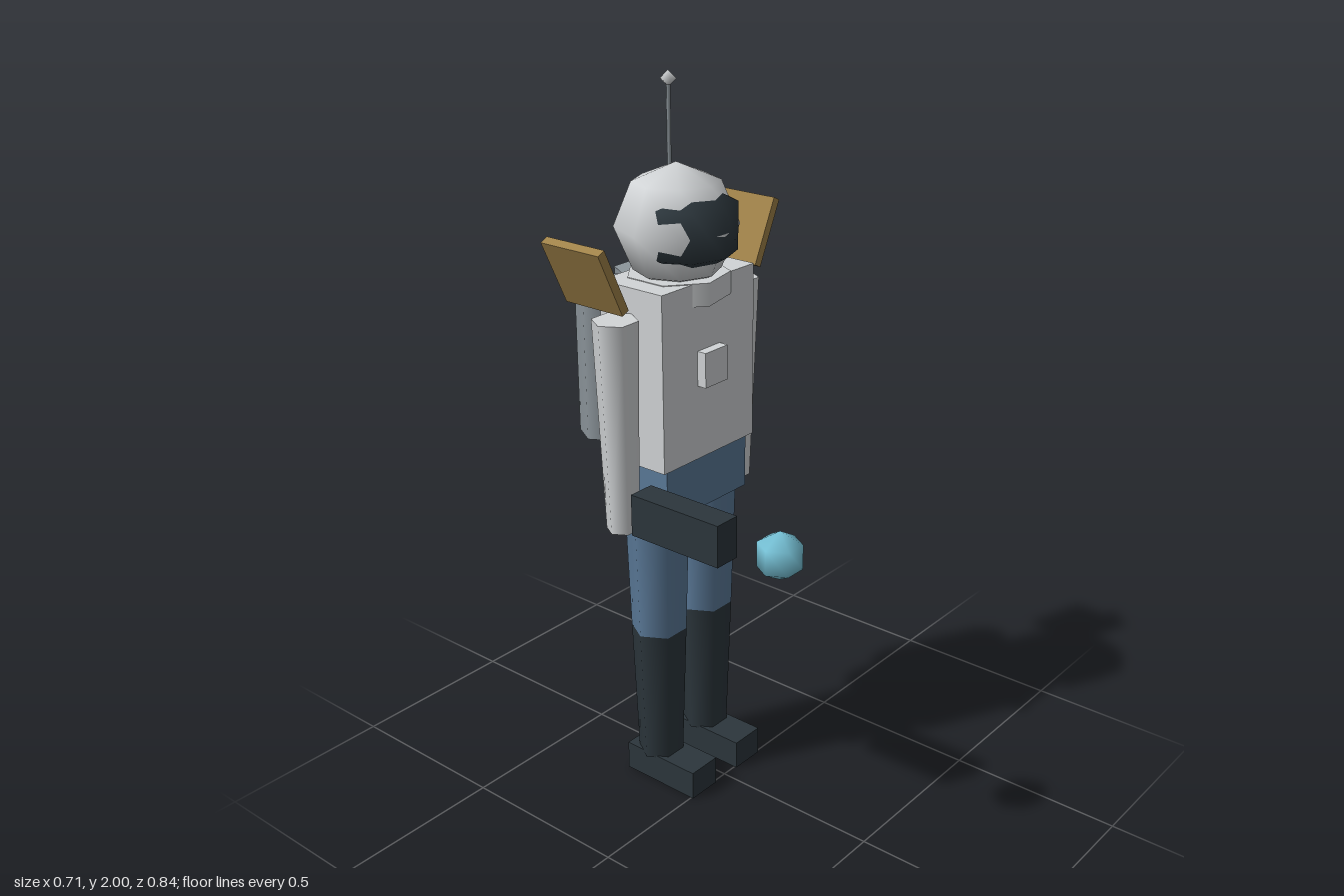
import * as THREE from 'three';

const mat = (name, color) => {
  const m = new THREE.MeshStandardMaterial({ color });
  m.name = name;
  return m;
};

export function createModel() {
  const suit = mat('suit white', 0xd2d5d7);
  const blue = mat('trouser blue', 0x5b7a99);
  const dark = mat('dark slate', 0x2c363c);
  const steel = mat('tank grey', 0x8d969c);
  const gold = mat('panel gold', 0xa1834a);
  const cyan = mat('orb cyan', 0x78c4d9);

  const group = new THREE.Group();
  const add = (name, geometry, material, x, y, z) => {
    const mesh = new THREE.Mesh(geometry, material);
    mesh.name = name;
    mesh.position.set(x, y, z);
    group.add(mesh);
    return mesh;
  };
  const box = (name, m, w, h, d, x, y, z) =>
    add(name, new THREE.BoxGeometry(w, h, d), m, x, y, z);
  // Upright prism between two heights, with a corner pointing to each side
  const prism = (name, m, rTop, rBottom, y0, y1, x, z, sides = 6) => {
    const g = new THREE.CylinderGeometry(rTop, rBottom, y1 - y0, sides);
    g.rotateY(Math.PI / 2);
    return add(name, g, m, x, (y0 + y1) / 2, z);
  };

  // Body
  box('torso', suit, 0.37, 0.49, 0.213, 0, 1.265, -0.158);
  box('pelvis', blue, 0.33, 0.155, 0.195, 0, 0.943, -0.158);
  box('chestUnit', suit, 0.09, 0.097, 0.04, -0.003, 1.277, -0.044);
  const collar = add('collar', new THREE.CylinderGeometry(0.14, 0.14, 0.062, 7), suit, 0, 1.481, -0.16);
  collar.rotation.y = -Math.PI / 14;

  // Helmet, with a visor swelling out of its front
  add('helmet', new THREE.SphereGeometry(0.165, 8, 4), suit, 0, 1.635, -0.16);
  const visor = add('visor', new THREE.SphereGeometry(0.13, 8, 3), dark, 0, 1.637, -0.109);
  visor.scale.set(1.15, 0.98, 1);

  // Mirrored limbs, tanks and panels
  for (const [side, s] of [['left', 1], ['right', -1]]) {
    prism(side + 'Thigh', blue, 0.092, 0.079, 0.49, 0.93, s * 0.1, -0.158);
    prism(side + 'Boot', dark, 0.079, 0.065, 0.08, 0.49, s * 0.1, -0.158);
    box(side + 'Foot', dark, 0.104, 0.086, 0.25, s * 0.099, 0.043, -0.118);
    const arm = prism(side + 'Arm', suit, 0.062, 0.045, 0.85, 1.44, s * 0.24, -0.158);
    arm.rotation.z = -s * 0.014;
    prism(side + 'Tank', steel, 0.078, 0.078, 1.03, 1.465, s * 0.078, -0.357);
    const panel = box(side + 'Panel', gold, 0.025, 0.19, 0.195, s * 0.305, 1.56, -0.198);
    panel.rotation.z = -s * 0.44;
  }

  // Antenna
  prism('antennaRod', steel, 0.006, 0.006, 1.45, 1.98, 0.118, -0.287);
  add('antennaTip', new THREE.SphereGeometry(0.022, 6, 2), suit, 0.118, 1.978, -0.287);

  // Hand tool and the orb floating before it
  box('handTool', dark, 0.078, 0.118, 0.293, -0.235, 0.924, 0.056);
  add('orb', new THREE.SphereGeometry(0.067, 6, 3), cyan, -0.236, 0.942, 0.37);

  return group;
}
